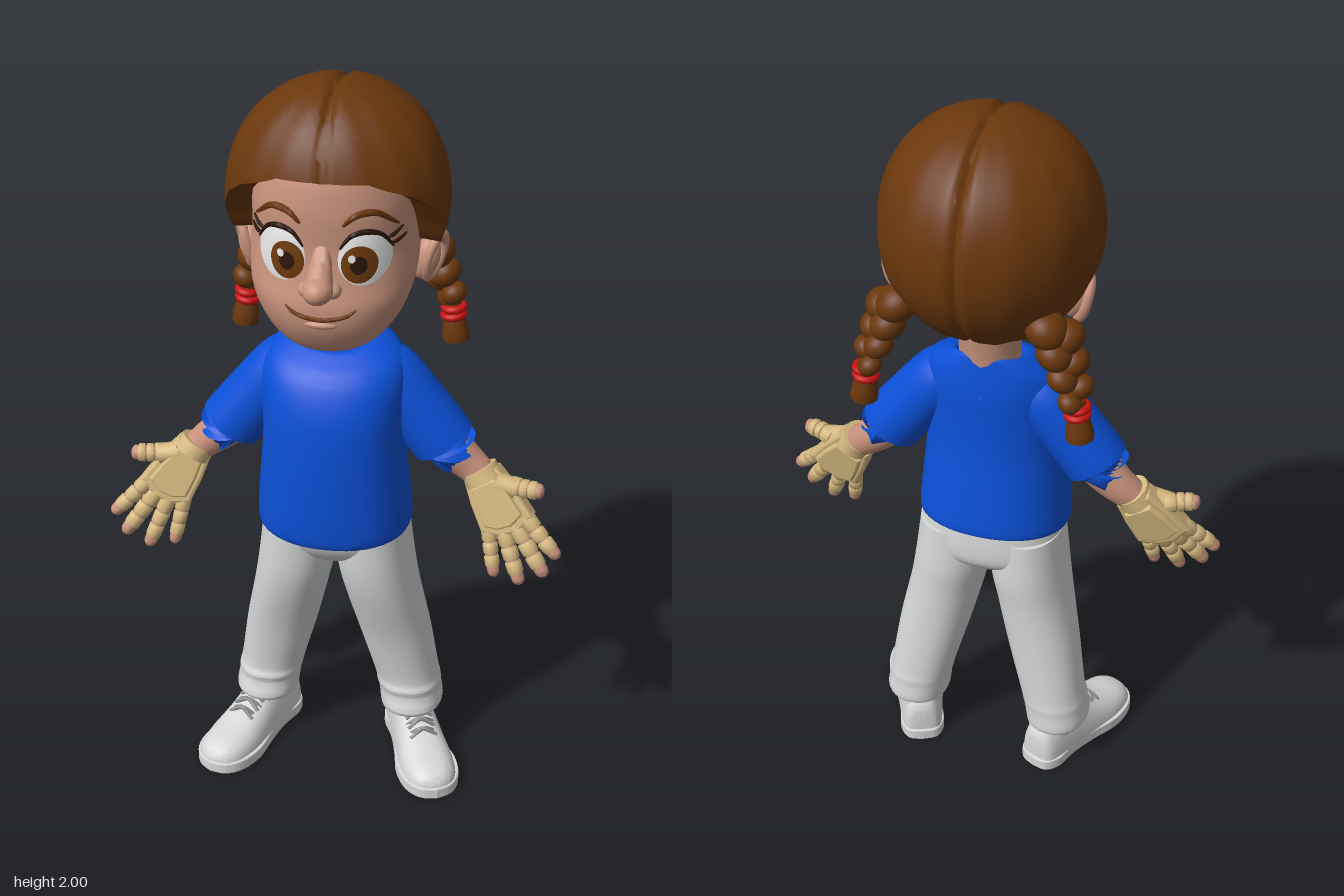
import * as THREE from 'three';
import { mergeGeometries, toCreasedNormals } from 'three/addons/utils/BufferGeometryUtils.js';

const V = (x, y, z) => new THREE.Vector3(x, y, z);
const material = (name, color) => Object.assign(new THREE.MeshStandardMaterial({ color }), { name });

// Catmull-Rom refinement of rows of numbers (all rows of one length)
function refine(rows, n) {
  const out = [], at = i => rows[Math.min(Math.max(i, 0), rows.length - 1)];
  for (let i = 0; i < rows.length - 1; i++) for (let k = 0; k < n; k++) {
    const t = k / n, [a, b, c, d] = [at(i - 1), at(i), at(i + 1), at(i + 2)];
    out.push(b.map((_, j) => 0.5 * (2 * b[j] + (c[j] - a[j]) * t + (2 * a[j] - 5 * b[j] + 4 * c[j] - d[j]) * t * t
      + (3 * b[j] - a[j] - 3 * c[j] + d[j]) * t * t * t)));
  }
  return [...out, rows[rows.length - 1]];
}

// Skin over closed rings of points, listed bottom to top
function skin(rings, bottom = true, top = true, crease = 0.9) {
  const n = rings[0].length, pos = [], idx = [];
  rings.forEach(r => r.forEach(p => pos.push(p.x, p.y, p.z)));
  for (let i = 0; i < rings.length - 1; i++) for (let j = 0; j < n; j++) {
    const a = i * n + j, b = i * n + (j + 1) % n;
    idx.push(a, b, a + n, b, b + n, a + n);
  }
  const cap = (i, flip) => {
    const c = rings[i].reduce((s, p) => s.add(p), V(0, 0, 0)).divideScalar(n), k = pos.length / 3;
    pos.push(c.x, c.y, c.z);
    for (let j = 0; j < n; j++) {
      const a = i * n + j, b = i * n + (j + 1) % n;
      flip ? idx.push(k, b, a) : idx.push(k, a, b);
    }
  };
  if (bottom) cap(0, true);
  if (top) cap(rings.length - 1, false);
  const g = new THREE.BufferGeometry();
  g.setAttribute('position', new THREE.Float32BufferAttribute(pos, 3));
  g.setIndex(idx);
  return toCreasedNormals(g, crease);
}
const pw = (v, p) => Math.sign(v) * Math.abs(v) ** (2 / p);
const circle = (n, f) => Array.from({ length: n }, (_, j) => f(Math.sin(j / n * 2 * Math.PI), Math.cos(j / n * 2 * Math.PI)));

// Upright body form, rows: y, centre x, half width, front z, back z, optional tilt
const body = (rows, p = 2.2, n = 48) => skin(refine(rows.map(r => [...r, 0].slice(0, 6)), 5).map(([y, cx, rx, zf, zb, tilt]) =>
  circle(n, (s, c) => {
    const z = (zf + zb) / 2 + (zf - zb) / 2 * pw(c, p);
    return V(cx + rx * pw(s, p), y + tilt * z, z);
  })));

// Tube of changing radius, rows: x, y, z, radius
function limb(rows, n = 16, sub = 5) {
  const r = refine(rows, sub), q = new THREE.Quaternion();
  return skin(r.map(([x, y, z, rad], i) => {
    const a = r[Math.max(i - 1, 0)], b = r[Math.min(i + 1, r.length - 1)];
    q.setFromUnitVectors(V(0, 1, 0), V(b[0] - a[0], b[1] - a[1], b[2] - a[2]).normalize());
    return circle(n, (s, c) => V(s * rad, 0, c * rad).applyQuaternion(q).add(V(x, y, z)));
  }));
}
const ball = (x, y, z, rx, ry, rz, rot = 0) =>
  new THREE.SphereGeometry(1, 24, 16).scale(rx, ry, rz).rotateZ(rot).translate(x, y, z);

// Mirrored copy across x with the corner order restored
function mirror(geo) {
  const g = geo.clone().scale(-1, 1, 1);
  for (const a of Object.values(g.attributes)) for (let i = 0; i < a.count; i += 3) for (let k = 0; k < 3; k++) {
    const t = a.getComponent(i + 1, k);
    a.setComponent(i + 1, k, a.getComponent(i + 2, k));
    a.setComponent(i + 2, k, t);
  }
  return g;
}

export function createModel() {
  const model = new THREE.Group();
  model.name = 'girl';
  const skinTone = material('skin', 0xc9937d), hairBrown = material('hairBrown', 0x6a370c), blue = material('shirtBlue', 0x0b50d8),
    white = material('trouserWhite', 0xd6d8d8), tan = material('gloveTan', 0xd6b981), red = material('tieRed', 0xc81414),
    irisBrown = material('irisBrown', 0x6e3a0c), eyeWhite = material('eyeWhite', 0xeeeeee), dark = material('lashDark', 0x2a150a),
    grey = material('laceGrey', 0x8e9090);

  function add(name, mat, geos, pair = false) {
    const g = mergeGeometries([].concat(geos).map(o => {
      const k = o.index ? o.toNonIndexed() : o;
      k.deleteAttribute('uv');
      return k;
    }));
    const put = (label, geo) => model.add(Object.assign(new THREE.Mesh(geo, mat), { name: label }));
    put(pair ? name + 'Left' : name, g);
    if (pair) put(name + 'Right', mirror(g));
  }

  // Head, neck and nose
  const headRows = [[1.352, 0, .03, .165, .1], [1.362, 0, .085, .187, .06], [1.39, 0, .135, .21, -.02], [1.44, 0, .175, .234, -.09],
    [1.5, 0, .2, .24, -.12], [1.56, 0, .21, .226, -.16], [1.64, 0, .208, .215, -.2], [1.75, 0, .205, .217, -.21],
    [1.85, 0, .17, .19, -.2], [1.93, 0, .08, .1, -.1]];
  add('head', skinTone, [body(headRows),
    limb([[0, 1.24, -.02, .09], [0, 1.33, -.02, .08], [0, 1.45, -.03, .085]], 24),
    limb([[0, 1.66, .19, .018], [0, 1.61, .225, .028], [0, 1.57, .25, .036]]),
    ball(0, 1.565, .265, .038, .034, .045), ball(.032, 1.556, .24, .022, .02, .026), ball(-.032, 1.556, .24, .022, .02, .026),
    ball(0, 1.457, .22, .05, .014, .026)]);
  const fine = refine(headRows, 12);
  const headZ = (x, y) => {
    const i = Math.max(1, fine.findIndex(r => r[0] >= y)), [a, b] = [fine[i - 1], fine[i]];
    const [, , rx, zf, zb] = a.map((v, j) => THREE.MathUtils.lerp(v, b[j], (y - a[0]) / (b[0] - a[0])));
    return (zf + zb) / 2 + (zf - zb) / 2 * Math.max(0, 1 - Math.abs(x / rx) ** 2.2) ** (1 / 2.2);
  };
  add('ear', skinTone, [ball(.222, 1.54, -.02, .035, .06, .035, -.25),
    new THREE.TorusGeometry(.045, .013, 10, 28).scale(.8, 1.3, 1).rotateY(1.15).rotateZ(-.25).translate(.243, 1.545, -.025)], true);

  // Eyes, laid over the face with a slight dome
  const eyeZ = (x, y) => headZ(x, y) + .004 + .012 * Math.max(0, 1 - ((Math.abs(x) - .102) / .062) ** 2 - ((y - 1.628) / .066) ** 2);
  const patch = (cx, cy, rx, ry, lift) => skin([1, .85, .7, .5, .3, .1].map(k => circle(36, (s, c) => {
    const x = cx + rx * k * s, y = cy - ry * k * c;
    return V(x, y, eyeZ(x, y) + lift);
  })), false, true);
  add('eyeWhite', eyeWhite, patch(.102, 1.628, .062, .066, 0), true);
  for (const [side, x] of [['Left', .092], ['Right', -.084]]) {
    add('iris' + side, irisBrown, patch(x, 1.618, .043, .048, .003));
    add('pupil' + side, dark, patch(x, 1.618, .02, .023, .005));
    add('eyeGlint' + side, eyeWhite, patch(x - .016, 1.636, .009, .01, .007));
  }
  const drawn = (pts, r, lift = .002) => limb(refine(pts, 5).map(([x, y], i, a) =>
    [x, y, headZ(x, y) + lift, r * (.35 + .65 * Math.sin(Math.PI * i / (a.length - 1)))]), 8, 1);
  add('eyebrow', hairBrown, drawn([[.052, 1.715], [.085, 1.742], [.13, 1.742], [.175, 1.7]], .009), true);
  add('eyelashes', dark, [drawn([[.045, 1.655], [.07, 1.688], [.105, 1.698], [.14, 1.685], [.165, 1.645]], .007, .004),
    drawn([[.15, 1.672], [.165, 1.676], [.184, 1.69]], .005, .004), drawn([[.158, 1.655], [.172, 1.655], [.19, 1.664]], .005, .004)], true);
  add('mouth', hairBrown, drawn([[-.088, 1.503], [-.06, 1.484], [0, 1.474], [.06, 1.484], [.088, 1.503]], .006));

  // Hair: a cap with a shaped hairline, a centre parting and soft strands
  const hairline = [[0, 1.825], [25, 1.82], [50, 1.775], [65, 1.735], [78, 1.66], [86, 1.6], [100, 1.59], [110, 1.5], [122, 1.44], [150, 1.42], [180, 1.42]];
  const edgeY = deg => {
    const i = Math.max(1, hairline.findIndex(h => h[0] >= deg - 1e-6)), [a, b] = [hairline[i - 1], hairline[i]];
    return THREE.MathUtils.lerp(a[1], b[1], (deg - a[0]) / (b[0] - a[0]));
  };
  const hairRings = [];
  for (let k = 0; k <= 33; k++) {
    const t = Math.max(Math.min(k, 30) / 30, .015), inset = [1, .94, .84, .7][Math.max(0, k - 30)];
    hairRings.unshift(circle(144, (s, c) => {
      const a = Math.abs(Math.atan2(s, c)), edge = edgeY(a * 180 / Math.PI);
      const y = 2 - (2 - edge) * (1 - Math.cos(t * Math.PI / 2));
      const u = Math.abs(y - 1.7) / .3, f = y > 1.7 ? (1 - u ** 2.15) ** (1 / 2.15) : Math.sqrt(1 - u * u);
      const x = .28 * f * s, z = (c > 0 ? .24 : .305) * f * c;
      const part = 1 - .045 * Math.exp(-((x / .012) ** 2)) + .006 * t * Math.sin(a * 14 + 5 * y);
      return V(x * part * inset, 1.65 + (y - 1.65) * part + (1 - inset) * .03, z * part * (inset + 1) / 2);
    }));
  }
  add('hair', hairBrown, skin(hairRings, false, true, 1.2));

  // Plaits with ties
  const lobes = [];
  for (let i = 0; i < 7; i++) {
    const t = i / 6, r = .056 - .024 * t, o = (i % 2 ? 1 : -1) * .014;
    lobes.push(ball(.205 + .07 * t + o, 1.53 - .185 * t, -.155 - .025 * t + o, r, r * .85, r, o * 40));
  }
  add('plait', hairBrown, [...lobes, limb([[.275, 1.35, -.18, .02], [.278, 1.31, -.18, .025], [.283, 1.26, -.18, .035], [.286, 1.235, -.18, .036]])], true);
  add('hairTie', red, [1.327, 1.305].map(y => new THREE.TorusGeometry(.025, .011, 10, 24).rotateX(Math.PI / 2).rotateZ(.1).translate(.277, y, -.18)), true);

  // Shirt with sleeves, and bare forearms
  add('shirt', blue, body([[.805, 0, .185, .17, -.12, -.12], [.79, 0, .203, .19, -.135, -.12], [.82, 0, .207, .2, -.137, -.1], [.92, 0, .198, .205, -.128],
    [1.05, 0, .187, .204, -.113], [1.15, 0, .188, .195, -.11], [1.23, 0, .19, .17, -.11, -.05], [1.28, 0, .175, .14, -.105, -.12],
    [1.31, 0, .14, .11, -.1, -.22], [1.328, 0, .102, .085, -.095, -.32], [1.322, 0, .085, .07, -.085, -.32]]));
  add('sleeve', blue, limb([[.07, 1.25, -.005, .06], [.13, 1.217, 0, .083], [.205, 1.13, .003, .085], [.275, 1.04, .005, .086],
    [.283, 1.028, .005, .086]], 28), true);
  add('forearm', skinTone, limb([[.24, 1.08, 0, .06], [.3, 1.01, 0, .056], [.35, .965, 0, .048], [.4, .925, .01, .04]], 20), true);

  // Hands: local y runs along the fingers, the palm faces local z
  const yAxis = V(.516, -.826, .232).normalize(), xAxis = yAxis.clone().cross(V(-.123, .197, .975)).normalize();
  const hand = new THREE.Matrix4().makeBasis(xAxis, yAxis, xAxis.clone().cross(yAxis)).setPosition(.39, .935, .01);
  const outline = new THREE.Shape([[.042, 0], [.055, .06], [.064, .135], [.025, .162], [-.02, .168], [-.068, .148], [-.06, .07], [-.045, 0]]
    .map(([x, y]) => new THREE.Vector2(x, y)));
  const plate = (depth, z) => new THREE.ExtrudeGeometry(outline, { depth, bevelThickness: .01, bevelSize: .008, bevelSegments: 2 }).translate(0, 0, z);
  const glove = [plate(.035, -.022), plate(.03, 0).scale(.75, .75, .9).translate(0, .02, 0),
    plate(.02, -.035).scale(.8, .7, 1).translate(0, .025, 0), limb([[0, -.022, 0, .05], [0, .015, 0, .052]], 16, 1),
    limb([[-.03, .03, .008, .03], [-.07, .07, .008, .027]], 10, 1)];
  const tips = [];
  for (const [bx, by, tx, ty, r] of [[-.054, .15, -.086, .285, .022], [-.019, .165, -.029, .318, .023], [.018, .16, .045, .312, .022],
    [.052, .135, .1, .265, .02], [-.062, .06, -.136, .104, .025]]) {
    const at = (t, rad) => [bx + (tx - bx) * t, by + (ty - by) * t, .012 * Math.sin(t * 2), rad];
    tips.push(limb([at(0, r * .8), at(.5, r * .82), at(.85, r * .82), at(.94, r * .66), at(.985, r * .36), at(1, r * .1)], 12, 3));
    for (const [a, b, k] of [[-.1, .27, 1.08], [.3, .52, 1.03], [.55, .78, 1]])
      glove.push(limb([at(a, r * k * .9), at(a + .03, r * k), at(b - .03, r * k * .97), at(b, r * k * .88)], 10, 1));
  }
  add('fingers', skinTone, tips.map(g => g.applyMatrix4(hand)), true);
  add('glove', tan, glove.map(g => g.applyMatrix4(hand)), true);

  // Trousers
  add('trouserSeat', white, body([[.66, 0, .11, .08, -.09], [.7, 0, .18, .125, -.125], [.76, 0, .197, .15, -.13], [.86, 0, .185, .15, -.12]], 2.4));
  add('trouserLeg', white, body([[.135, .208, .084, .058, -.138], [.15, .21, .088, .064, -.142], [.19, .204, .088, .052, -.138], [.215, .2, .09, .056, -.138],
    [.25, .192, .09, .05, -.134], [.4, .16, .099, .075, -.126], [.55, .127, .102, .117, -.124], [.65, .109, .104, .135, -.128], [.78, .1, .097, .14, -.12]], 2.2, 36), true);

  // Shoes, toes turned out
  const foot = new THREE.Matrix4().makeRotationY(.4).setPosition(.205, 0, -.05);
  const shoeRows = [[-.092, .02, .07], [-.085, .044, .1], [-.06, .056, .125], [0, .062, .135], [.06, .066, .13], [.12, .072, .1],
    [.19, .077, .073], [.25, .069, .058], [.285, .049, .042], [.3, .02, .022]];
  const upper = skin(refine(shoeRows, 4).map(([z, w, h]) => circle(32, (s, c) => V(w * pw(s, 2.6), .02 + h * Math.max(0, -c) ** .85, z))));
  const soleEdge = refine([[-.098, 0], [-.09, .04], [-.05, .06], [.02, .058], [.1, .068], [.18, .083], [.25, .074], [.292, .044], [.306, 0]], 4);
  const soleShape = new THREE.Shape([...soleEdge.map(([z, x]) => new THREE.Vector2(x, -z)),
    ...soleEdge.slice(1, -1).reverse().map(([z, x]) => new THREE.Vector2(-x, -z))]);
  const sole = new THREE.ExtrudeGeometry(soleShape, { depth: .026, bevelThickness: .004, bevelSize: .003, bevelSegments: 2 }).rotateX(-Math.PI / 2).translate(0, .004, 0);
  add('shoe', white, [upper, sole, limb([[0, .1, -.02, .062], [0, .17, -.015, .06]], 20, 1)].map(g => g.applyMatrix4(foot)), true);
  const laces = [];
  for (let i = 0; i < 4; i++) {
    const z = .06 + i * .028, y = .158 - i * .0125, w = .038;
    for (const d of [-1, 1]) laces.push(limb([[-w, y - .022, z - d * .009, .005], [0, y, z, .006], [w, y - .022, z + d * .009, .005]], 8, 4));
  }
  for (const d of [-1, 1]) laces.push(limb([[0, .16, .06, .004], [d * .03, .165, .065, .004], [d * .05, .14, .085, .004]], 8, 4));
  add('laces', grey, laces.map(g => g.applyMatrix4(foot)), true);

  return model;
}
